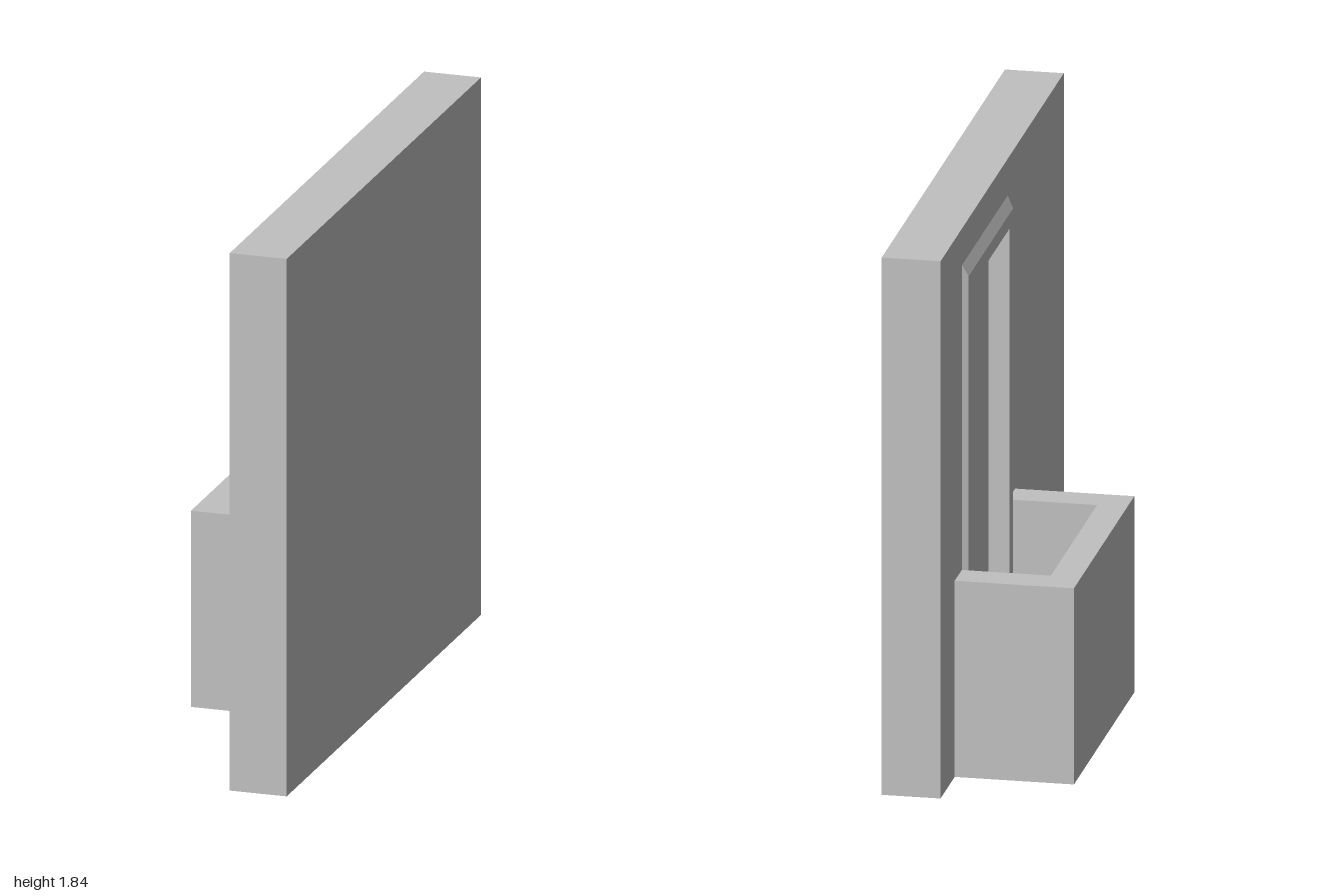
import * as THREE from 'three';

const FLOOR = 0.05;   // balcony floor level
const MID = -0.28;    // z centre of door and balcony
const DOOR_W = 0.3;   // half width of door opening
const DOOR_H = 1.62;  // top of door opening

export function createModel() {
  const model = new THREE.Group();
  const plaster = new THREE.MeshStandardMaterial({ color: 0xc0c0c0 });
  plaster.name = 'grey plaster';

  const add = (name, geometry) => {
    const mesh = new THREE.Mesh(geometry, plaster);
    mesh.name = name;
    model.add(mesh);
  };
  const box = (name, x0, x1, y0, y1, z0, z1) => {
    const g = new THREE.BoxGeometry(x1 - x0, y1 - y0, z1 - z0);
    g.translate((x0 + x1) / 2, (y0 + y1) / 2, (z0 + z1) / 2);
    add(name, g);
  };
  const shapeOf = (pts) => new THREE.Shape(pts.map(([a, b]) => new THREE.Vector2(a, b)));

  // Solid rear layer of the wall; its face closes the door recess
  box('wallCore', 0.15, 0.295, 0, 1.835, -1, 1);

  // Outer layer of the wall with the door opening
  const face = shapeOf([[-1, 0], [1, 0], [1, 1.835], [-1, 1.835]]);
  const l = MID - DOOR_W, r = MID + DOOR_W;
  face.holes.push(new THREE.Path([[l, FLOOR], [l, DOOR_H], [r, DOOR_H], [r, FLOOR]]
    .map(([a, b]) => new THREE.Vector2(a, b))));
  const layer = new THREE.ExtrudeGeometry(face, { depth: 0.05, bevelEnabled: false });
  layer.rotateY(-Math.PI / 2);
  layer.translate(0.15, 0, 0);
  add('wallFace', layer);

  // U-shaped parapet, drawn in plan (x, -z) and raised
  const o = 0.49, i = 0.375;
  const plan = shapeOf([
    [0.1, -MID - o], [0.1, -MID - i], [-0.195, -MID - i], [-0.195, -MID + i],
    [0.1, -MID + i], [0.1, -MID + o], [-0.295, -MID + o], [-0.295, -MID - o],
  ]);
  const parapet = new THREE.ExtrudeGeometry(plan, { depth: 0.67, bevelEnabled: false });
  parapet.rotateX(-Math.PI / 2);
  add('balconyParapet', parapet);
  box('balconyFloor', -0.195, 0.1, 0, FLOOR, MID - i, MID + i);

  // Door surround: outer bevel, flat face and inner return, swept over three sides
  const profile = [ // half width, top height, x
    [0.37, 1.71, 0.1], [0.36, 1.67, 0.08], [DOOR_W, DOOR_H, 0.08], [DOOR_W, DOOR_H, 0.1],
  ];
  const rings = profile.map(([w, h, x]) => [
    [x, FLOOR, MID - w], [x, h, MID - w], [x, h, MID + w], [x, FLOOR, MID + w],
  ]);
  const pos = [];
  for (let j = 0; j < 3; j++) {
    for (let k = 0; k < 3; k++) {
      const a = rings[j][k], b = rings[j + 1][k], c = rings[j + 1][k + 1], d = rings[j][k + 1];
      pos.push(...a, ...b, ...c, ...a, ...c, ...d);
    }
  }
  const frame = new THREE.BufferGeometry();
  frame.setAttribute('position', new THREE.Float32BufferAttribute(pos, 3));
  frame.computeVertexNormals();
  add('doorFrame', frame);

  return model;
}
